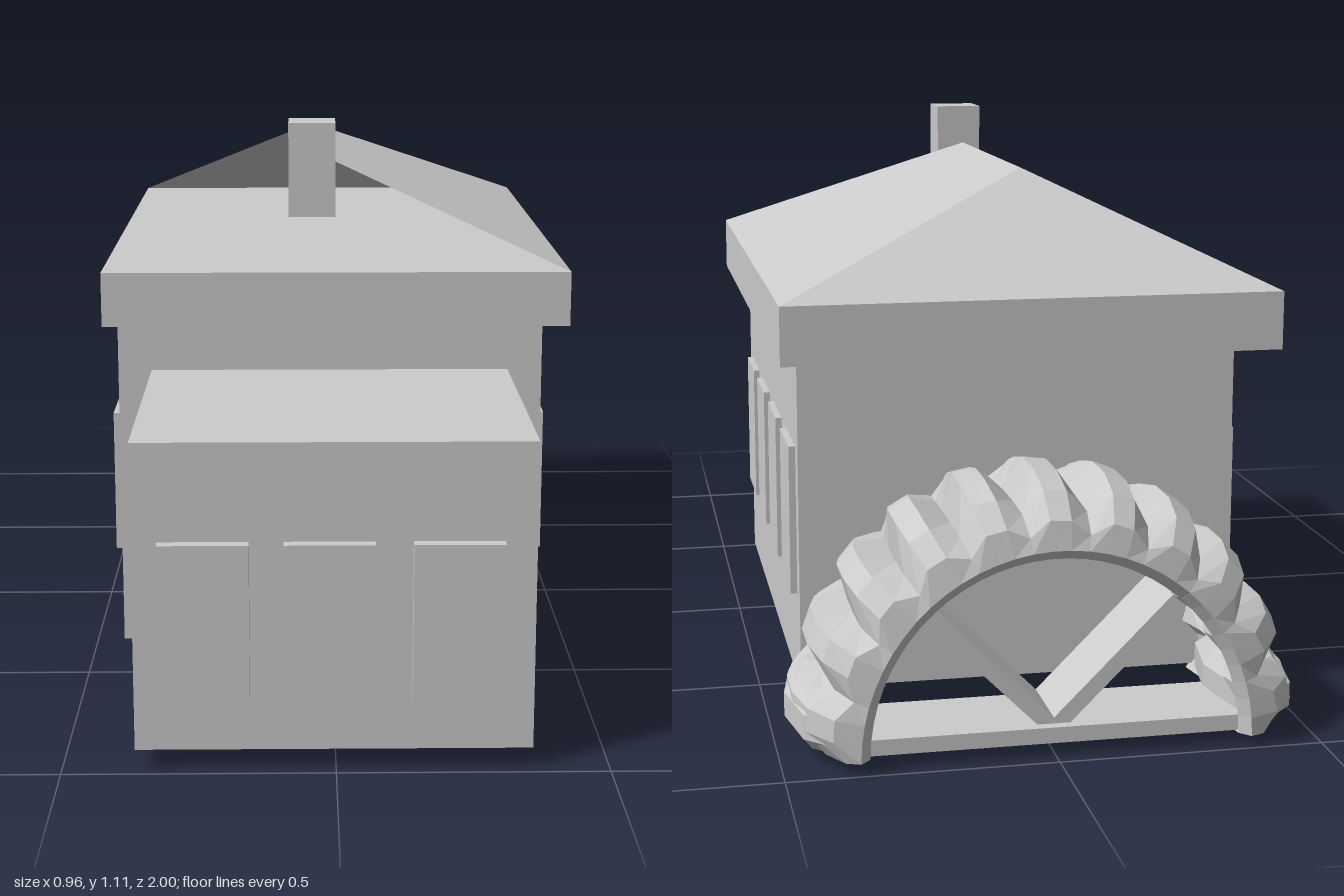
import * as THREE from 'three';

const grey = new THREE.MeshStandardMaterial({ color: 0xcccccc, flatShading: true });
const greyDouble = new THREE.MeshStandardMaterial({ color: 0xcccccc, flatShading: true, side: THREE.DoubleSide });

// Box given by its limits on each axis
function block(name, [x0, x1], [y0, y1], [z0, z1]) {
  const mesh = new THREE.Mesh(new THREE.BoxGeometry(x1 - x0, y1 - y0, z1 - z0), grey);
  mesh.position.set((x0 + x1) / 2, (y0 + y1) / 2, (z0 + z1) / 2);
  mesh.name = name;
  return mesh;
}

// Open hipped roof: one long slope and the rear hip, standing on the flat eaves
function hipRoof() {
  const y = 0.83;
  const p = [
    [0.48, y, 0.45], [0.48, y, -0.83], [-0.462, y, -0.83],
    [-0.035, 1.035, 0.12], [-0.035, 1.035, -0.48],
  ];
  const faces = [[0, 1, 4], [0, 4, 3], [1, 2, 4]];
  const geo = new THREE.BufferGeometry();
  geo.setAttribute('position', new THREE.Float32BufferAttribute(faces.flat().flatMap((i) => p[i]), 3));
  geo.computeVertexNormals();
  const mesh = new THREE.Mesh(geo, greyDouble);
  mesh.name = 'hipRoof';
  return mesh;
}

// Half-round shell of puffed gores, swept from a thin (radius, z) section
function puffedArch() {
  const section = [
    [0.45, -0.62], [0.475, -0.69], [0.495, -0.77], [0.495, -0.86], [0.475, -0.94], [0.43, -0.99],
    [0.375, -1.0], [0.355, -0.98], [0.39, -0.94], [0.43, -0.88], [0.445, -0.8], [0.43, -0.71], [0.39, -0.62],
  ];
  const gores = 11, steps = 3, rings = gores * steps, n = section.length;
  const pos = [], index = [];
  for (let i = 0; i <= rings; i++) {
    const a = (Math.PI * i) / rings;
    const crease = i % steps === 0 ? 1 : 0.06 * (1 + Math.sin(i * 2.3)); // deep on each seam
    section.forEach(([r, z], j) => {
      const belly = Math.sin((Math.PI * (z + 1)) / 0.38);
      const rim = j === 6 || j === 7;
      const rr = rim ? r : r - (0.025 + 0.035 * belly) * crease;
      pos.push(0.97 * rr * Math.cos(a), 0.028 + rr * Math.sin(a), z);
    });
  }
  for (let i = 0; i < rings; i++) {
    for (let j = 0; j < n; j++) {
      const k = (j + 1) % n;
      const a = i * n + j, b = i * n + k, c = (i + 1) * n + j, d = (i + 1) * n + k;
      index.push(a, b, c, b, d, c);
    }
  }
  // Close both feet
  const contour = section.map(([r, z]) => new THREE.Vector2(r, z));
  for (const t of THREE.ShapeUtils.triangulateShape(contour, [])) {
    index.push(...t, ...t.map((v) => v + rings * n).reverse());
  }
  const geo = new THREE.BufferGeometry();
  geo.setAttribute('position', new THREE.Float32BufferAttribute(pos, 3));
  geo.setIndex(index);
  geo.computeVertexNormals();
  const mesh = new THREE.Mesh(geo, greyDouble);
  mesh.name = 'puffedArch';
  return mesh;
}

// Faceted lump at the foot of the arch, one per side
function archFoot(side) {
  const mesh = new THREE.Mesh(new THREE.SphereGeometry(1, 8, 5), grey);
  mesh.scale.set(0.08, 0.075, 0.185);
  mesh.position.set(side * 0.405, 0.08, -0.81);
  mesh.name = side > 0 ? 'leftArchFoot' : 'rightArchFoot';
  return mesh;
}

export function createModel() {
  const model = new THREE.Group();
  model.name = 'house';

  // Main body and front extension
  model.add(block('mainWalls', [-0.435, 0.43], [0.04, 0.72], [-0.63, 0.4]));
  model.add(block('frontExtension', [-0.367, 0.36], [0.042, 0.62], [0.39, 0.977]));

  // Roof and chimney
  model.add(block('eaves', [-0.462, 0.48], [0.72, 0.83], [-0.83, 0.45]));
  model.add(hipRoof());
  model.add(block('chimney', [-0.087, 0.01], [0.918, 1.112], [0.19, 0.287]));

  // Raised window panels
  for (const x of [-0.32, -0.094, 0.138]) {
    model.add(block('frontWindow', [x, x + 0.164], [0.14, 0.437], [0.96, 1.0]));
  }
  for (const z of [0.175, -0.075, -0.33, -0.585]) {
    model.add(block('leftWindow', [0.41, 0.443], [0.22, 0.515], [z, z + 0.165]));
    model.add(block('rightWindow', [-0.453, -0.41], [0.22, 0.515], [z, z + 0.165]));
  }

  // Rear arch with base beam and two slanted braces
  model.add(puffedArch(), archFoot(1), archFoot(-1));
  model.add(block('baseBeam', [-0.39, 0.39], [0.03, 0.06], [-0.97, -0.79]));
  for (const side of [1, -1]) {
    const brace = new THREE.Group();
    brace.add(block('braceBoard', [0, 0.4], [-0.015, 0.015], [-0.95, -0.8]));
    brace.position.y = 0.05;
    brace.rotation.z = side > 0 ? Math.PI / 4 : (3 * Math.PI) / 4;
    brace.name = side > 0 ? 'leftBrace' : 'rightBrace';
    model.add(brace);
  }
  return model;
}
